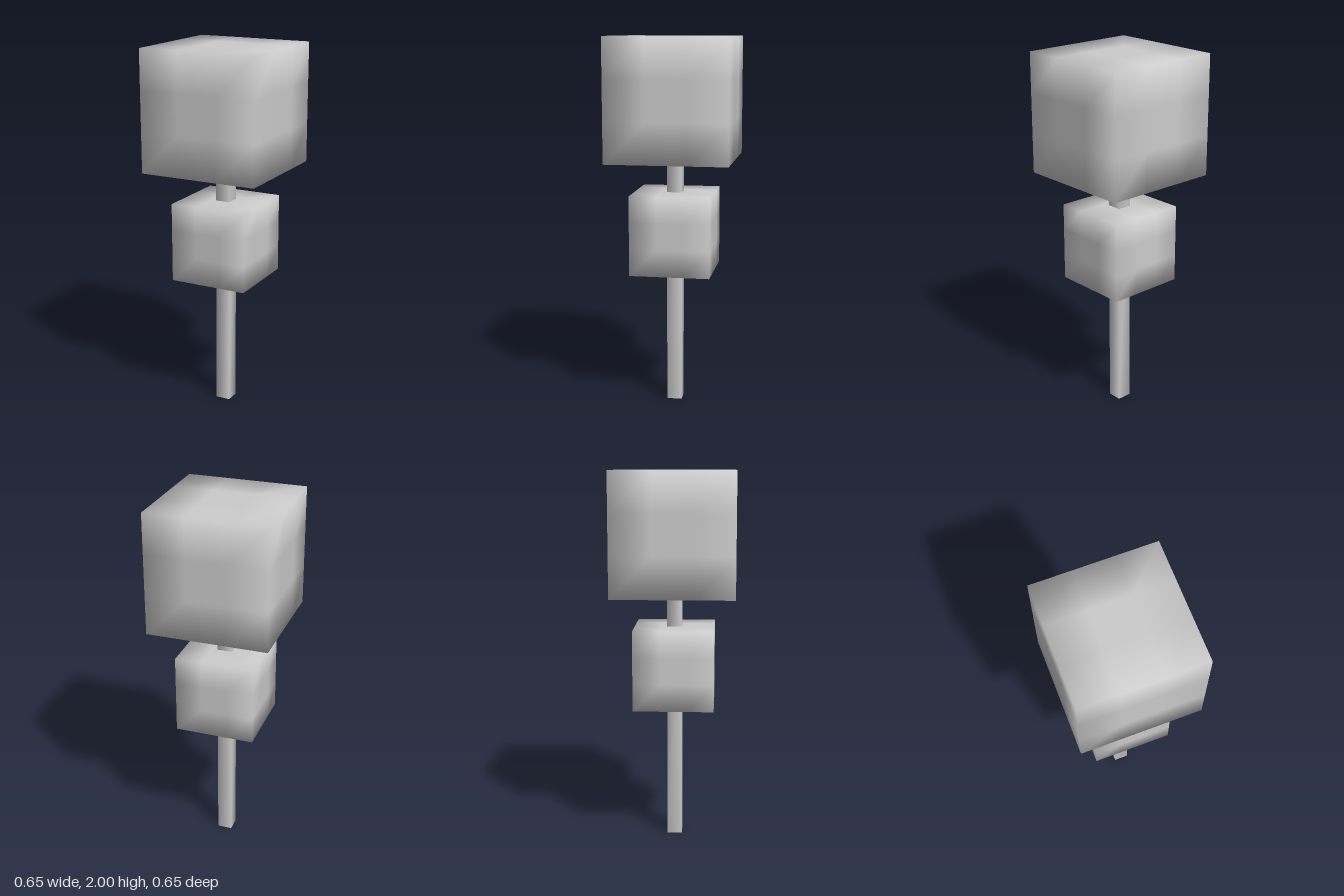
import * as THREE from 'three';
import { mergeVertices } from 'three/addons/utils/BufferGeometryUtils.js';

const material = new THREE.MeshStandardMaterial({ color: 0xcccccc });

// Box with welded corners, so shading runs smoothly over its edges
function softBox(name, width, bottom, top, segments) {
  const height = top - bottom;
  const box = new THREE.BoxGeometry(width, height, width, segments, segments, segments);
  box.deleteAttribute('uv');
  box.deleteAttribute('normal');
  const geometry = mergeVertices(box);
  geometry.computeVertexNormals();
  const mesh = new THREE.Mesh(geometry, material);
  mesh.name = name;
  mesh.position.y = bottom + height / 2;
  return mesh;
}

export function createModel() {
  const model = new THREE.Group();
  model.name = 'stackedCubesOnPost';
  model.add(
    softBox('post', 0.08, 0, 1.5, 1),
    softBox('lowerCube', 0.43, 0.74, 1.17, 3),
    softBox('upperCube', 0.65, 1.35, 2, 3)
  );
  return model;
}
